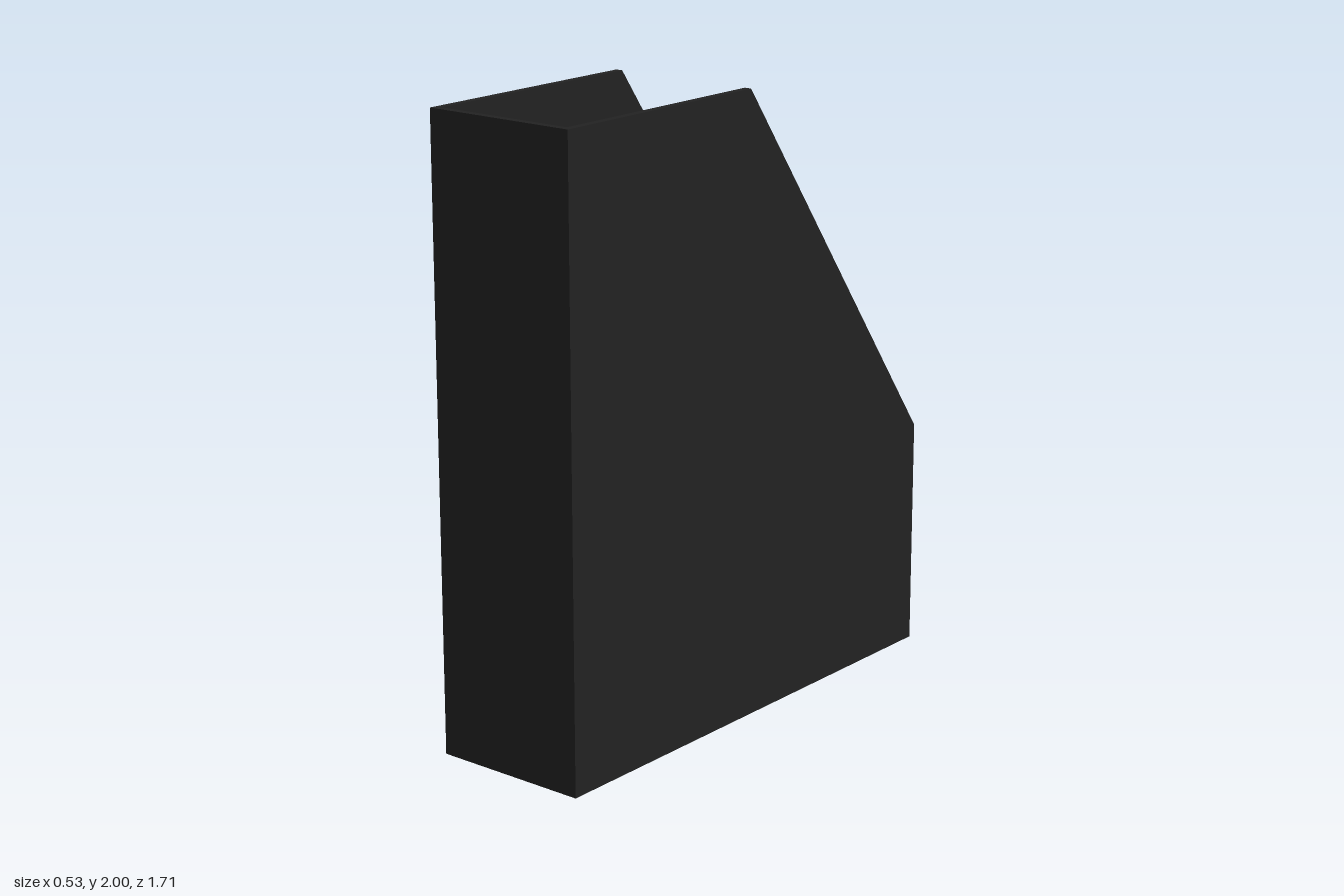
import * as THREE from 'three';

const HALF_W = 0.263, HALF_D = 0.857, HEIGHT = 2, WALL = 0.024;
const CUT_Z = 0.035, BACK_H = 0.75;
const SLOPE = (HEIGHT - BACK_H) / (CUT_Z + HALF_D);

const black = new THREE.MeshStandardMaterial({ color: 0x222222 });
black.name = 'black';

// Extrudes a (z, y) outline across the width from x0 to x1
function panel(name, outline, x0, x1) {
  const shape = new THREE.Shape(outline.map(([z, y]) => new THREE.Vector2(z, y)));
  const geometry = new THREE.ExtrudeGeometry(shape, { depth: x1 - x0, bevelEnabled: false });
  geometry.rotateY(-Math.PI / 2).translate(x1, 0, 0);
  const mesh = new THREE.Mesh(geometry, black);
  mesh.name = name;
  return mesh;
}

export function createModel() {
  const group = new THREE.Group();
  group.name = 'magazineFile';
  const inX = HALF_W - WALL, inZ = HALF_D - WALL;

  // Side walls with the slanted cut towards the back
  const side = [[-HALF_D, 0], [HALF_D, 0], [HALF_D, HEIGHT], [CUT_Z, HEIGHT], [-HALF_D, BACK_H]];
  group.add(panel('leftWall', side, inX, HALF_W));
  group.add(panel('rightWall', side, -HALF_W, -inX));

  // Tall front wall
  group.add(panel('frontWall', [[inZ, 0], [HALF_D, 0], [HALF_D, HEIGHT], [inZ, HEIGHT]], -inX, inX));

  // Low back wall, its rim following the slant
  group.add(panel('backWall',
    [[-HALF_D, 0], [-inZ, 0], [-inZ, BACK_H + WALL * SLOPE], [-HALF_D, BACK_H]], -inX, inX));

  // Floor
  group.add(panel('floor', [[-inZ, 0], [inZ, 0], [inZ, WALL], [-inZ, WALL]], -inX, inX));

  return group;
}
